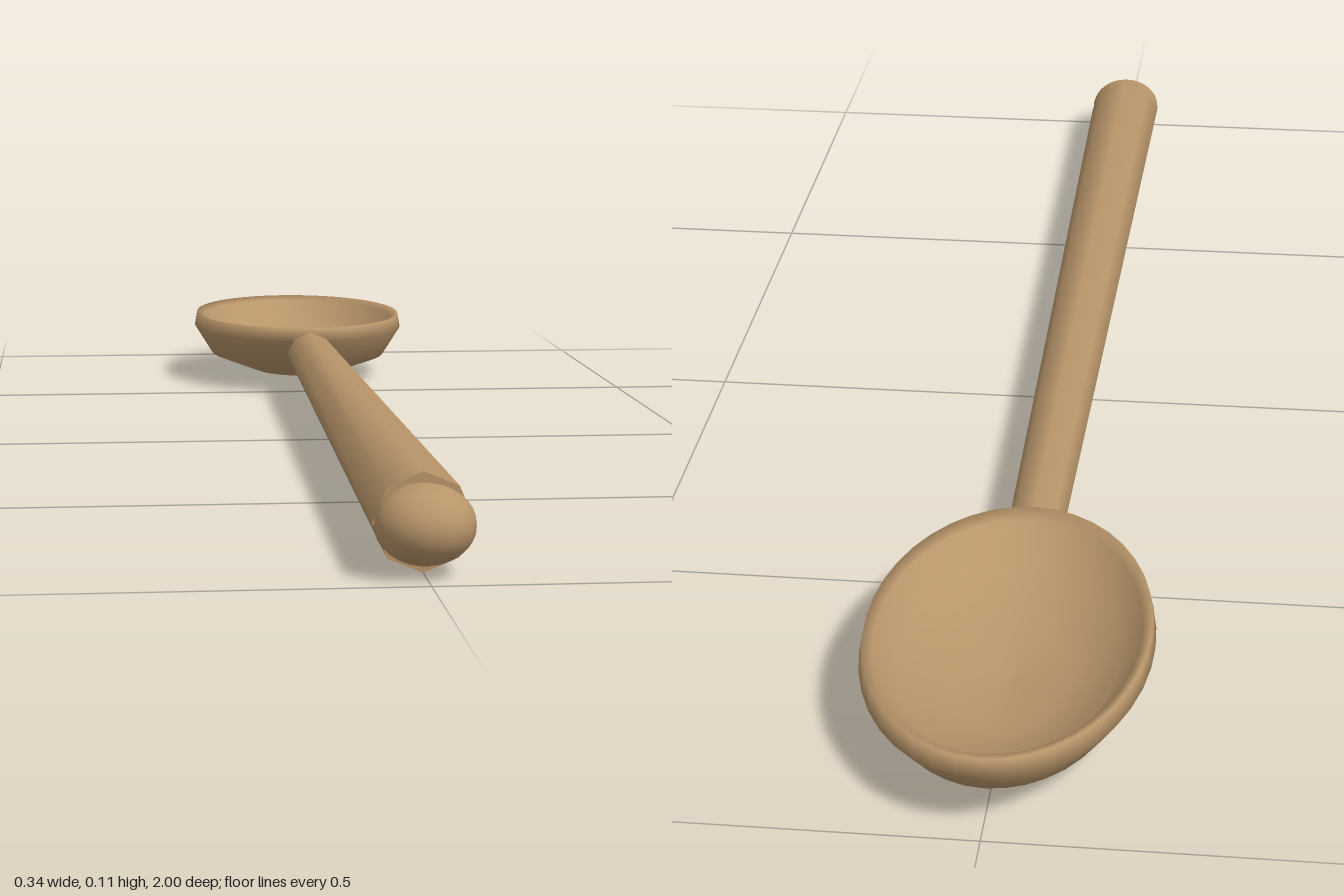
import * as THREE from 'three';

export function createModel() {
  const spoon = new THREE.Group();
  spoon.name = 'spoon';
  const wood = new THREE.MeshStandardMaterial({ color: 0xb8956a });
  wood.name = 'wood';

  const add = (name, geometry) => {
    const mesh = new THREE.Mesh(geometry, wood);
    mesh.name = name;
    spoon.add(mesh);
    return mesh;
  };

  // Oval bowl: outer shell, rim, then the hollow inside
  const profile = [
    [0, 0.009], [0.073, 0.012], [0.143, 0.04], [0.171, 0.085], [0.167, 0.107],
    [0.155, 0.1], [0.13, 0.063], [0.07, 0.034], [0, 0.027],
  ].map(([r, y]) => new THREE.Vector2(r, y));
  const bowl = add('bowl', new THREE.LatheGeometry(profile, 40));
  bowl.scale.z = 1.566;
  bowl.position.z = -0.732;

  // Tapered eight-sided handle, rising slightly towards the bowl
  const back = new THREE.Vector3(0, 0.065, -0.48);
  const front = new THREE.Vector3(0, 0.057, 0.93);
  const handle = add('handle', new THREE.CylinderGeometry(0.055, 0.035, back.distanceTo(front), 8));
  handle.position.copy(back).add(front).multiplyScalar(0.5);
  handle.rotation.x = Math.PI / 2 + Math.atan2(back.y - front.y, front.z - back.z);

  // Rounded, slightly flattened handle end
  const handleEnd = add('handleEnd', new THREE.SphereGeometry(0.055, 24, 16));
  handleEnd.scale.y = 0.8;
  handleEnd.position.set(0, 0.0575, 0.945);

  return spoon;
}
